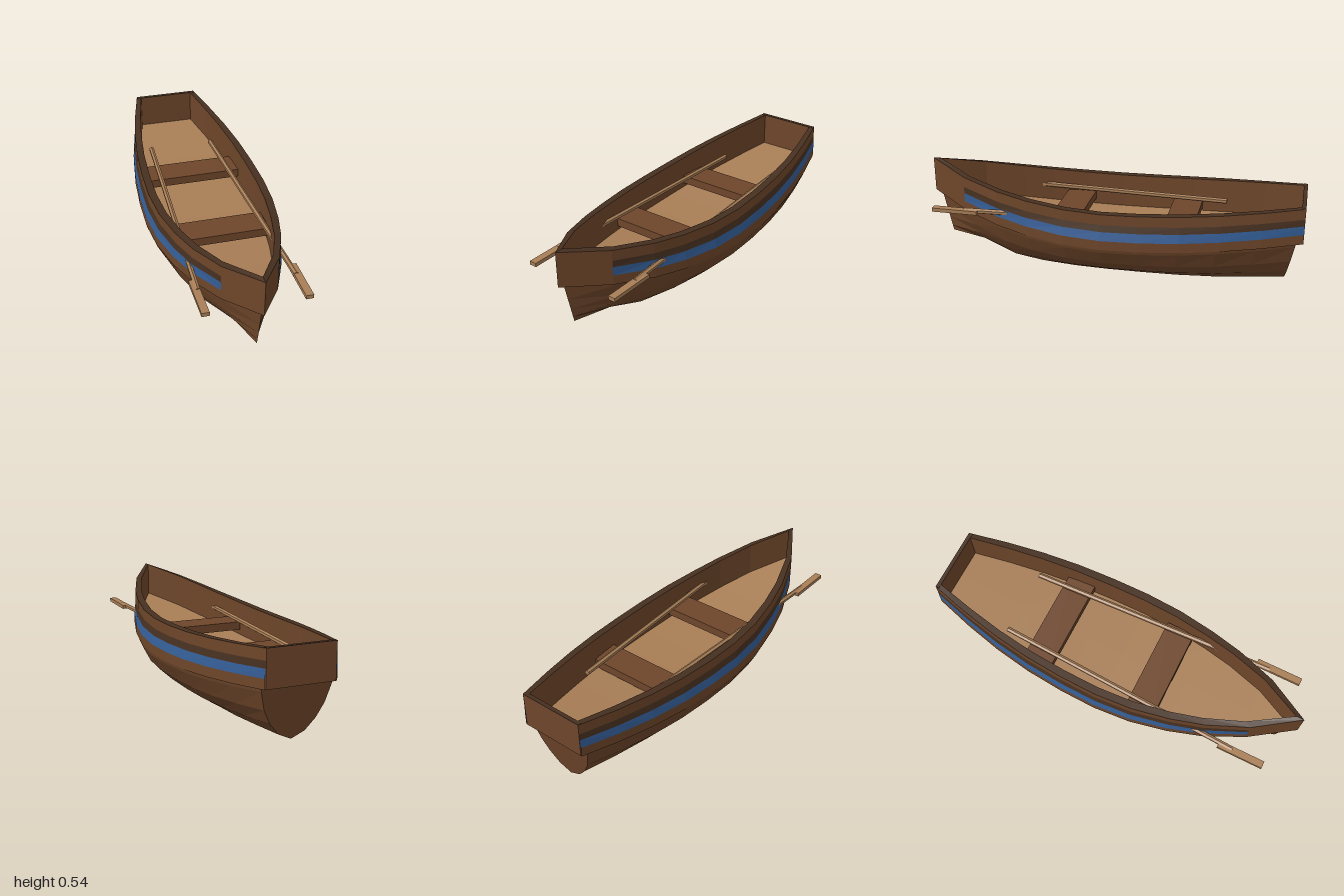
import * as THREE from 'three';

const mat = (name, color) =>
  new THREE.MeshStandardMaterial({ name, color, flatShading: true, side: THREE.DoubleSide });

// Stations from stern to bow: z, half width, keel height
const STATIONS = [
  [-1, 0.175, 0.025], [-0.8, 0.225, 0.016], [-0.6, 0.265, 0.007], [-0.4, 0.292, 0.003],
  [-0.2, 0.306, 0.003], [0, 0.31, 0.003], [0.2, 0.297, 0.003], [0.4, 0.262, 0.006],
  [0.57, 0.218, 0.02], [0.78, 0.138, 0.085], [1, 0, 0.12],
];
const BOW = 9; // the painted stripes stop at this station
const BAND = 0.185; // height of the top planking
// Hull section: share of half width, share of height
const SECTION = [[1, 1], [0.985, 0.93], [0.85, 0.59], [0.646, 0.33], [0.37, 0.116], [0, 0]];

const sheer = (z) => 0.42 + (z > 0 ? 0.12 * z * z : 0.065 * Math.pow(-z, 1.6));
const bulge = (w) => 0.019 * Math.max(0, (w - 0.138) / 0.172);

// Point on the outside of the top planking, d below the rim
const outer = (d) => ([z, w]) =>
  [w + bulge(w) * THREE.MathUtils.clamp((d - 0.055) / 0.08, 0, 1), sheer(z) - d, z];
// Point on the inside of the top planking
const inner = (d) => ([z, w]) => [w * 0.87, sheer(z) - d, z * (z < 0 ? 0.98 : 0.957)];
// Point on the lower hull
const hull = ([sx, h]) => ([z, w, keel]) => [
  (w + bulge(w)) * sx,
  keel + (sheer(z) - BAND - keel) * h,
  z * (0.965 - 0.052 * (1 - h)),
];

// Surface between two rows of points, mirrored to both sides
function skin(group, name, material, a, b) {
  const pos = [];
  for (const side of [1, -1]) {
    const put = (...pts) => {
      if (side < 0) pts.reverse();
      for (const [x, y, z] of pts) pos.push(x * side, y, z);
    };
    for (let i = 0; i + 1 < a.length; i++) {
      put(a[i], a[i + 1], b[i + 1]);
      put(a[i], b[i + 1], b[i]);
    }
  }
  const geo = new THREE.BufferGeometry();
  geo.setAttribute('position', new THREE.Float32BufferAttribute(pos, 3));
  geo.computeVertexNormals();
  const mesh = new THREE.Mesh(geo, material);
  mesh.name = name;
  group.add(mesh);
}

function box(group, name, material, size, at) {
  const mesh = new THREE.Mesh(new THREE.BoxGeometry(...size), material);
  mesh.name = name;
  mesh.position.set(...at);
  group.add(mesh);
}

export function createModel() {
  const boat = new THREE.Group();
  boat.name = 'rowingBoat';
  const brown = mat('brown wood', 0x6e462a);
  const dark = mat('dark wood', 0x463020);
  const tan = mat('light wood', 0xa87e56);
  const blue = mat('blue paint', 0x335c94);
  const all = STATIONS;
  const body = STATIONS.slice(0, BOW + 1);
  const bow = STATIONS.slice(BOW);

  // Lower hull
  for (let i = 0; i + 1 < SECTION.length; i++)
    skin(boat, 'hullPlank', brown, all.map(hull(SECTION[i])), all.map(hull(SECTION[i + 1])));

  // Rounded lower transom
  const edge = SECTION.map((s) => hull(s)(all[0]));
  skin(boat, 'transom', brown, edge, edge.map(([, y, z]) => [0, y, z]));

  // Top planking with its stripes
  const bands = [
    ['topPlank', brown, 0, 0.055], ['rubbingStrake', dark, 0.055, 0.09],
    ['blueStripe', blue, 0.09, 0.135], ['lowerPlank', brown, 0.135, BAND],
  ];
  for (const [name, material, d0, d1] of bands)
    skin(boat, name, material, body.map(outer(d0)), body.map(outer(d1)));
  skin(boat, 'bowPlank', brown, bow.map(outer(0)), bow.map(outer(BAND)));
  skin(boat, 'plankUnderside', brown, all.map(outer(BAND)), all.map(inner(BAND)));
  skin(boat, 'innerWall', brown, all.map(inner(BAND)), all.map(inner(0)));
  skin(boat, 'rim', dark, all.map(inner(0)), all.map(outer(0)));

  // Floor follows the sheer of the hull
  const floorEdge = all.map(inner(BAND - 0.004));
  skin(boat, 'floor', tan, floorEdge.map(([, y, z]) => [0, y, z]), floorEdge);

  // Stern board and its dark cap
  box(boat, 'sternBoard', brown, [0.348, BAND - 0.002, 0.02], [0, 0.485 - BAND / 2 - 0.001, -0.99]);
  box(boat, 'sternCap', dark, [0.35, 0.004, 0.02], [0, 0.484, -0.99]);

  // Bench seats
  box(boat, 'frontSeat', brown, [0.5, 0.045, 0.155], [0, 0.297, 0.23]);
  box(boat, 'rearSeat', brown, [0.53, 0.045, 0.155], [0, 0.297, -0.37]);

  // Oars
  for (const side of [1, -1]) {
    const oar = new THREE.Group();
    oar.name = side > 0 ? 'leftOar' : 'rightOar';
    const from = new THREE.Vector3(0.175 * side, 0.352, -0.585);
    const to = new THREE.Vector3(0.238 * side, 0.349, 0.745);
    const dir = to.clone().sub(from);
    const shaft = new THREE.Mesh(new THREE.CylinderGeometry(0.014, 0.014, dir.length(), 6), tan);
    shaft.name = 'shaft';
    shaft.position.copy(from).lerp(to, 0.5);
    shaft.quaternion.setFromUnitVectors(new THREE.Vector3(0, 1, 0), dir.normalize());
    oar.add(shaft);
    box(oar, 'blade', tan, [0.038, 0.02, 0.245], [0.245 * side, 0.346, 0.793]);
    boat.add(oar);
  }
  return boat;
}
